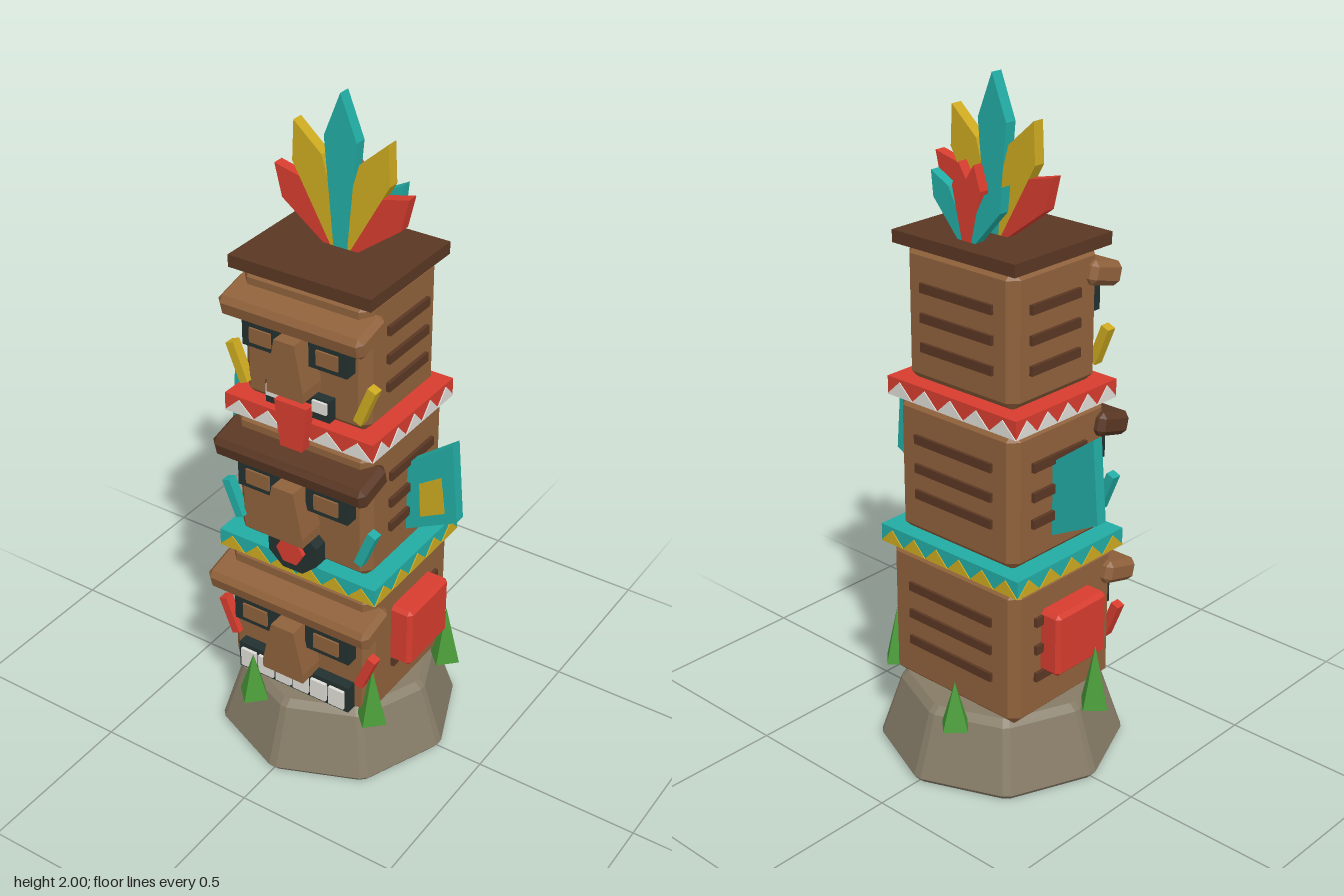
import * as THREE from 'three';
import { ConvexGeometry } from 'three/addons/geometries/ConvexGeometry.js';

const paint = (name, color) => {
  const m = new THREE.MeshStandardMaterial({ color });
  m.name = name;
  m.flatShading = true;
  return m;
};

export function createModel() {
  const wood = paint('wood', 0x8f613b), darkWood = paint('dark wood', 0x5a3723);
  const red = paint('red', 0xd63c2e), teal = paint('teal', 0x22aca4);
  const yellow = paint('yellow', 0xcca920), green = paint('leaf green', 0x4a9a38);
  const stone = paint('stone', 0x857b66), dark = paint('charcoal', 0x22302f);
  const white = paint('white', 0xdedcd6);

  const model = new THREE.Group();
  model.name = 'totemPole';

  const add = (name, geo, mat, x = 0, y = 0, z = 0, parent = model) => {
    const mesh = new THREE.Mesh(geo, mat);
    mesh.name = name;
    mesh.position.set(x, y, z);
    parent.add(mesh);
    return mesh;
  };
  const box = (w, h, d) => new THREE.BoxGeometry(w, h, d);

  // Box with every edge chamfered by c
  const chamferBox = (w, h, d, c) => {
    const pts = [], a = w / 2, b = h / 2, e = d / 2;
    for (const i of [-1, 1]) for (const j of [-1, 1]) for (const k of [-1, 1]) {
      pts.push(new THREE.Vector3(i * a, j * (b - c), k * (e - c)),
        new THREE.Vector3(i * (a - c), j * b, k * (e - c)),
        new THREE.Vector3(i * (a - c), j * (b - c), k * e));
    }
    return new ConvexGeometry(pts);
  };

  // Flat plate cut from an outline, centred on z
  const plate = (pts, depth) => {
    const shape = new THREE.Shape(pts.map(p => new THREE.Vector2(p[0], p[1])));
    return new THREE.ExtrudeGeometry(shape, { depth, bevelEnabled: false }).translate(0, 0, -depth / 2);
  };

  // Octagonal stone base with clipped corners
  const basePts = [];
  for (const [r, y] of [[0.347, 0], [0.358, 0.014], [0.296, 0.2], [0.275, 0.22]]) {
    for (let i = 0; i < 8; i++) for (const s of [-0.035, 0.035]) {
      const t = i * Math.PI / 4 + s;
      basePts.push(new THREE.Vector3(r * Math.sin(t), y, r * Math.cos(t)));
    }
  }
  add('stoneBase', new ConvexGeometry(basePts), stone);

  // Grass tufts
  for (const [x, z, top] of [[-0.1, -0.302, 0.35], [0.28, -0.152, 0.39], [-0.1, 0.302, 0.355],
    [-0.315, 0.05, 0.4], [0.245, 0.2, 0.385]]) {
    add('grassTuft', new THREE.ConeGeometry(0.05, top - 0.205, 4), green, x, (top + 0.205) / 2, z);
  }

  // Three carved heads, bottom to top
  const heads = [
    { name: 'lowerHead', y0: 0.21, y1: 0.645, w: 0.245, d: 0.212, slats: [0.35, 0.437, 0.525],
      brow: [0.275, 0.555, 0.217], browMat: wood, eye: [0.123, 0.46, 0.148, 0.085],
      nose: [0.32, 0.49, 0.295, 0.07], cheek: [0.237, 0.39, red] },
    { name: 'middleHead', y0: 0.685, y1: 1.1, w: 0.222, d: 0.194, slats: [0.817, 0.897, 0.985],
      brow: [0.25, 1.015, 0.2], browMat: darkWood, eye: [0.113, 0.927, 0.137, 0.08],
      nose: [0.79, 0.96, 0.28, 0.064], cheek: [0.222, 0.807, teal] },
    { name: 'upperHead', y0: 1.145, y1: 1.54, w: 0.202, d: 0.175, slats: [1.255, 1.34, 1.425],
      brow: [0.227, 1.455, 0.18], browMat: wood, eye: [0.106, 1.37, 0.12, 0.075],
      nose: [1.245, 1.41, 0.26, 0.058], cheek: [0.205, 1.25, yellow] },
  ];
  for (const h of heads) {
    const g = new THREE.Group();
    g.name = h.name;
    model.add(g);
    add('block', chamferBox(h.w * 2, h.y1 - h.y0, h.d * 2, 0.028), wood, 0, (h.y0 + h.y1) / 2, 0, g);

    // Dark slats on the back and both sides
    for (const y of h.slats) {
      add('backSlat', box(h.w * 1.3, 0.027, 0.03), darkWood, 0, y, -h.d + 0.006, g);
      for (const s of [-1, 1])
        add('sideSlat', box(0.03, 0.027, h.d * 1.12), darkWood, s * (h.w - 0.004), y, -0.015, g);
    }

    // Tilted brow
    const [bw, by, bz] = h.brow;
    add('brow', chamferBox(bw * 2, 0.068, 0.13, 0.016), h.browMat, 0, by, bz, g).rotation.x = 0.25;

    // Eyes and cheek marks
    const [ex, ey, ew, eh] = h.eye;
    const [cx, cy, cMat] = h.cheek;
    for (const s of [-1, 1]) {
      add('eyeSocket', box(ew, eh, 0.06), dark, s * ex, ey, h.d + 0.01, g);
      add('iris', box(ew * 0.57, eh * 0.58, 0.008), wood, s * ex, ey, h.d + 0.042, g);
      add('cheekMark', box(0.027, 0.12, 0.03), cMat, s * cx, cy, h.d + 0.004, g).rotation.z = -s * 0.38;
    }

    // Nose widening downward
    const [n0, n1, nz, nw] = h.nose;
    const depth = nz - h.d + 0.02;
    add('nose', plate([[-nw, n0], [nw, n0], [nw, n0 + 0.03], [nw * 0.55, n1], [-nw * 0.55, n1], [-nw, n0 + 0.03]],
      depth), wood, 0, 0, nz - depth / 2, g);
  }

  // Lower mouth with a row of teeth
  add('lowerMouth', box(0.384, 0.09, 0.06), dark, 0, 0.278, 0.215);
  for (let i = 0; i < 6; i++) add('tooth', box(0.052, 0.062, 0.03), white, (i - 2.5) * 0.0618, 0.277, 0.24);

  // Round middle mouth
  const disc = (name, r, n, d, mat, z) => {
    const m = add(name, new THREE.CylinderGeometry(r, r, d, n).rotateY(Math.PI / n), mat, 0, 0.737, z);
    m.rotation.x = Math.PI / 2;
    return m;
  };
  disc('middleMouth', 0.087, 8, 0.06, dark, 0.208).scale.z = 0.9;
  disc('middleTongue', 0.045, 6, 0.06, red, 0.222);

  // Upper mouth with two teeth and a hanging tongue
  add('upperMouth', box(0.206, 0.066, 0.05), dark, 0, 1.202, 0.178);
  for (const s of [-1, 1]) add('tooth', box(0.046, 0.034, 0.03), white, s * 0.074, 1.212, 0.196);
  add('upperTongue', plate([[-0.035, 1.07], [0.035, 1.07], [0.042, 1.12], [0.052, 1.21], [-0.052, 1.21],
    [-0.042, 1.12]], 0.035), red, 0, 0, 0.218);

  // Patterned bands between the heads
  const band = (name, hw, hd, y0, y1, mat, triMat, nx, nz) => {
    const g = new THREE.Group();
    g.name = name;
    model.add(g);
    add('ring', box(hw * 2, y1 - y0, hd * 2), mat, 0, (y0 + y1) / 2, 0, g);
    for (let side = 0; side < 4; side++) {
      const [half, out, n] = side % 2 ? [hd, hw, nz] : [hw, hd, nx];
      const face = new THREE.Group();
      face.name = 'triangleRow';
      face.rotation.y = side * Math.PI / 2;
      g.add(face);
      const p = 2 * half / n, top = (y1 - y0) * 0.85;
      for (let i = 0; i < n; i++)
        add('triangle', plate([[-p / 2, 0], [p / 2, 0], [0, top]], 0.004), triMat,
          -half + (i + 0.5) * p, y0, out + 0.001, face);
    }
  };
  band('lowerBand', 0.263, 0.223, 0.64, 0.692, teal, yellow, 6, 5);
  band('upperBand', 0.24, 0.205, 1.097, 1.15, red, white, 5, 5);

  // Ears: red blocks below, painted wings in the middle
  for (const s of [-1, 1]) {
    add('ear', chamferBox(0.09, 0.195, 0.21, 0.012), red, s * 0.265, 0.455, 0);
    const flip = pts => pts.map(([x, y]) => [s * x, y]);
    add('wing', plate(flip([[0.19, 0.95], [0.362, 1.08], [0.383, 0.835], [0.19, 0.735]].reverse()), 0.035),
      teal, 0, 0, -0.02);
    add('wingPatch', plate(flip([[0.262, 0.92], [0.33, 0.965], [0.345, 0.852], [0.268, 0.812]]), 0.004),
      yellow, 0, 0, -0.002);
  }

  // Top cap
  add('topCap', box(0.444, 0.036, 0.385), darkWood, 0, 1.553, 0);

  // Feather crest: front fan and shorter back fan
  const feather = (len, hw, angle, mat, z, thick) => {
    const pts = [[-hw * 0.4, 0], [hw * 0.4, 0], [hw, len * 0.72], [0, len], [-hw, len * 0.72]];
    add('feather', plate(pts, thick), mat, 0, 1.555, z).rotation.z = -angle;
  };
  feather(0.445, 0.05, 0, teal, -0.02, 0.036);
  for (const s of [-1, 1]) {
    feather(0.37, 0.05, s * 0.4, yellow, -0.02, 0.035);
    feather(0.292, 0.05, s * 0.79, red, -0.02, 0.034);
    feather(0.227, 0.031, s * 0.12, red, -0.121, 0.031);
    feather(0.225, 0.034, s * 0.6, teal, -0.121, 0.03);
  }
  return model;
}
